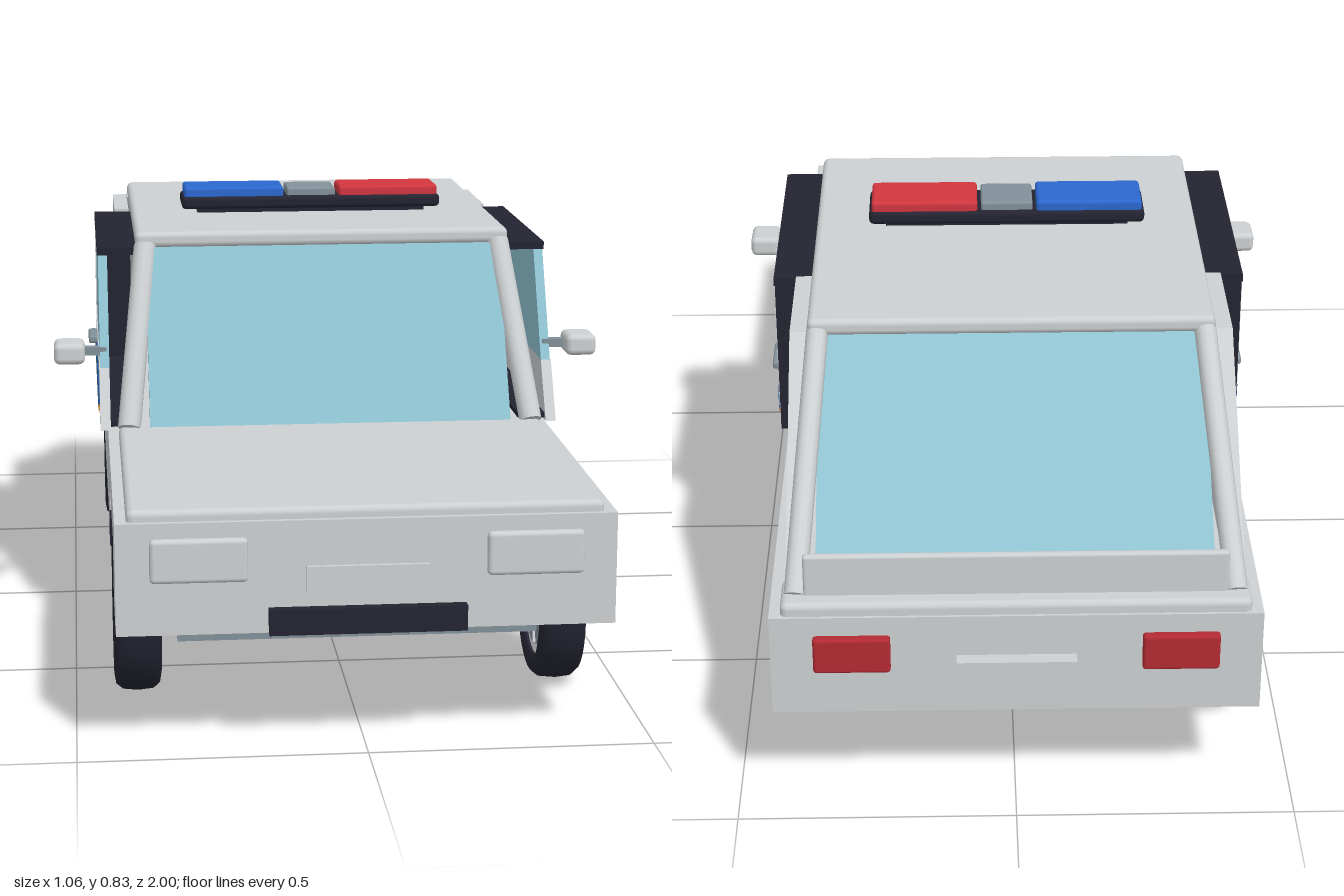
import * as THREE from 'three';
import { RoundedBoxGeometry } from 'three/addons/geometries/RoundedBoxGeometry.js';

const mat = (name, color) => {
  const m = new THREE.MeshStandardMaterial({ color });
  m.name = name;
  return m;
};

export function createModel() {
  const paint = mat('body paint', 0xcdd0d2);
  const glass = mat('glass', 0x8fc2d1);
  const grey = mat('slate grey', 0x82919a);
  const black = mat('black trim', 0x242432);
  const white = mat('wheel white', 0xfafafa);
  const blue = mat('beacon blue', 0x2b68cf);
  const red = mat('beacon red', 0xd2363f);
  const tailRed = mat('tail light red', 0xb32a33);
  const stripeBlue = mat('stripe blue', 0x1f5896);
  const orange = mat('stripe orange', 0xd08a3c);

  const car = new THREE.Group();
  car.name = 'patrolCar';
  const add = (name, geo, material, parent = car) => {
    const m = new THREE.Mesh(geo, material);
    m.name = name;
    parent.add(m);
    return m;
  };
  // Box given by its limits on each axis, optionally with softened edges
  const box = (name, [x0, x1], [y0, y1], [z0, z1], material, r = 0) => {
    const s = [x1 - x0, y1 - y0, z1 - z0];
    const geo = r ? new RoundedBoxGeometry(...s, 2, r) : new THREE.BoxGeometry(...s);
    geo.translate((x0 + x1) / 2, (y0 + y1) / 2, (z0 + z1) / 2);
    return add(name, geo, material);
  };
  // Same box on the left or right side
  const sideBox = (name, s, [x0, x1], y, z, material, r) =>
    box(name, s > 0 ? [x0, x1] : [-x1, -x0], y, z, material, r);
  // Side profile of [z, y] points extruded across x
  const profile = (name, pts, x, width, material) => {
    const shape = new THREE.Shape(pts.map(([z, y]) => new THREE.Vector2(z, y)));
    const geo = new THREE.ExtrudeGeometry(shape, { depth: width, bevelEnabled: false });
    geo.rotateY(-Math.PI / 2).translate(x + width / 2, 0, 0);
    return add(name, geo, material);
  };
  const rod = (name, a, b, r, material) => {
    const from = new THREE.Vector3(...a), to = new THREE.Vector3(...b);
    const dir = to.clone().sub(from);
    const m = add(name, new THREE.CylinderGeometry(r, r, dir.length(), 12), material);
    m.position.copy(from).add(to).multiplyScalar(0.5);
    m.quaternion.setFromUnitVectors(new THREE.Vector3(0, 1, 0), dir.normalize());
    return m;
  };

  // Lower body with square wheel arches, and chassis
  profile('lowerBody', [
    [-0.975, 0.215], [-0.78, 0.215], [-0.78, 0.335], [-0.43, 0.335], [-0.43, 0.215],
    [0.43, 0.215], [0.43, 0.335], [0.78, 0.335], [0.78, 0.215], [0.98, 0.215],
    [0.98, 0.412], [-0.975, 0.412],
  ], 0, 0.86, paint);
  box('chassis', [-0.32, 0.32], [0.155, 0.216], [-0.83, 0.83], grey);
  box('hood', [-0.41, 0.41], [0.4, 0.432], [0.33, 0.97], paint, 0.012);
  box('rearDeck', [-0.41, 0.41], [0.4, 0.436], [-0.97, -0.88], paint, 0.012);
  box('cabinFloor', [-0.4, 0.4], [0.405, 0.425], [-0.9, 0.34], paint);
  box('spoiler', [-0.37, 0.37], [0.43, 0.515], [-0.94, -0.925], paint, 0.006);

  // Roof and sloping glass
  box('roof', [-0.37, 0.37], [0.75, 0.782], [-0.57, 0.175], paint, 0.012);
  profile('windscreen', [[0.355, 0.432], [0.18, 0.752], [0.16, 0.752], [0.335, 0.432]], 0, 0.7, glass);
  profile('rearWindow', [[-0.56, 0.752], [-0.92, 0.44], [-0.895, 0.44], [-0.535, 0.752]], 0, 0.7, glass);

  // Nose and tail details
  box('frontBumper', [-0.17, 0.17], [0.215, 0.26], [0.97, 1], black);
  box('frontPlate', [-0.105, 0.105], [0.285, 0.332], [0.975, 0.988], paint);
  box('rearPlate', [-0.105, 0.105], [0.285, 0.332], [-1, -0.97], paint);

  for (const s of [1, -1]) {
    const side = s > 0 ? 'left' : 'right';
    const sb = (part, x, y, z, m, r) => sideBox(side + part, s, x, y, z, m, r);
    sb('Headlight', [0.205, 0.372], [0.308, 0.385], [0.97, 0.992], paint, 0.008);
    sb('TailLight', [0.22, 0.355], [0.305, 0.375], [-0.99, -0.965], tailRed, 0.006);

    // Roof pillars
    rod(side + 'FrontPillar', [s * 0.39, 0.43, 0.35], [s * 0.35, 0.755, 0.165], 0.022, paint);
    rod(side + 'RearPillar', [s * 0.385, 0.43, -0.93], [s * 0.352, 0.755, -0.56], 0.02, paint);

    // Door with window and dark frame
    profile(side + 'DoorPanel', [[0.325, 0.42], [0.26, 0.53], [-0.3, 0.53], [-0.3, 0.735], [-0.32, 0.735], [-0.32, 0.42]],
      s * 0.435, 0.02, paint);
    profile(side + 'DoorWindow', [[0.26, 0.53], [0.155, 0.735], [-0.3, 0.735], [-0.3, 0.53]], s * 0.434, 0.018, glass);
    sb('DoorFrameTop', [0.365, 0.445], [0.735, 0.75], [-0.33, 0.16], black);
    sb('DoorFrameRear', [0.37, 0.443], [0.425, 0.75], [-0.33, -0.32], black);
    sb('DoorFrameSill', [0.372, 0.426], [0.424, 0.434], [-0.32, 0.31], black);
    sb('DoorHandle', [0.444, 0.463], [0.5, 0.516], [-0.225, -0.135], grey, 0.005);

    // Rear quarter panel
    profile(side + 'QuarterPanel', [[-0.33, 0.425], [-0.33, 0.755], [-0.56, 0.755], [-0.935, 0.425]], s * 0.387, 0.03, paint);

    // Painted stripes
    sb('DoorStripe', [0.444, 0.448], [0.455, 0.497], [-0.3, 0.25], stripeBlue);
    sb('DoorPinstripe', [0.444, 0.448], [0.443, 0.455], [-0.3, 0.25], orange);
    sb('QuarterStripe', [0.401, 0.406], [0.455, 0.497], [-0.65, -0.333], stripeBlue);
    sb('QuarterPinstripe', [0.401, 0.406], [0.443, 0.455], [-0.65, -0.333], orange);

    // Wing mirror
    sb('MirrorArm', [0.43, 0.48], [0.552, 0.568], [0.225, 0.245], grey);
    sb('Mirror', [0.472, 0.532], [0.54, 0.582], [0.205, 0.28], paint, 0.012);

    // Suspension blocks inside the arches
    for (const z of [[0.43, 0.505], [-0.51, -0.43]]) sb('SuspensionBlock', [0.3, 0.432], [0.24, 0.29], z, black);
    sb('RearArchTrim', [0.3, 0.432], [0.31, 0.335], [-0.515, -0.43], black);
  }

  // Beacon bar on the roof
  box('beaconFoot', [-0.235, 0.235], [0.78, 0.795], [-0.165, -0.08], black);
  box('beaconBase', [-0.267, 0.267], [0.79, 0.816], [-0.18, -0.067], black, 0.009);
  box('beaconBlue', [-0.262, -0.057], [0.81, 0.835], [-0.174, -0.073], blue, 0.007);
  box('beaconCentre', [-0.05, 0.05], [0.81, 0.832], [-0.17, -0.077], grey, 0.005);
  box('beaconRed', [0.057, 0.262], [0.81, 0.835], [-0.174, -0.073], red, 0.007);

  // Wheels, built with the axle along y then tipped over so +y faces outward
  const tyreProfile = [[0.107, -0.035], [0.12, -0.043], [0.138, -0.04], [0.148, -0.028], [0.151, 0],
    [0.148, 0.028], [0.138, 0.04], [0.12, 0.043], [0.107, 0.035], [0.107, -0.035]]
    .map(([r, y]) => new THREE.Vector2(r, y));
  const tyreGeo = new THREE.LatheGeometry(tyreProfile, 32);
  const rimGeo = new THREE.CylinderGeometry(0.109, 0.109, 0.06, 32);
  const discGeo = new THREE.CylinderGeometry(0.088, 0.088, 0.066, 32);
  const hubGeo = new THREE.CylinderGeometry(0.016, 0.016, 0.078, 16);
  const spokeGeo = new THREE.BoxGeometry(0.012, 0.074, 0.082).translate(0, 0, 0.045);
  for (const s of [1, -1]) for (const z of [0.61, -0.61]) {
    const wheel = new THREE.Group();
    wheel.name = (z > 0 ? 'front' : 'rear') + (s > 0 ? 'Left' : 'Right') + 'Wheel';
    add('tyre', tyreGeo, black, wheel);
    add('rim', rimGeo, white, wheel);
    add('disc', discGeo, grey, wheel);
    add('hub', hubGeo, paint, wheel);
    for (let i = 0; i < 5; i++) add('spoke', spokeGeo, paint, wheel).rotation.y = (i * Math.PI * 2) / 5;
    wheel.rotation.z = -s * Math.PI / 2;
    wheel.position.set(s * 0.387, 0.151, z);
    car.add(wheel);
  }
  return car;
}
